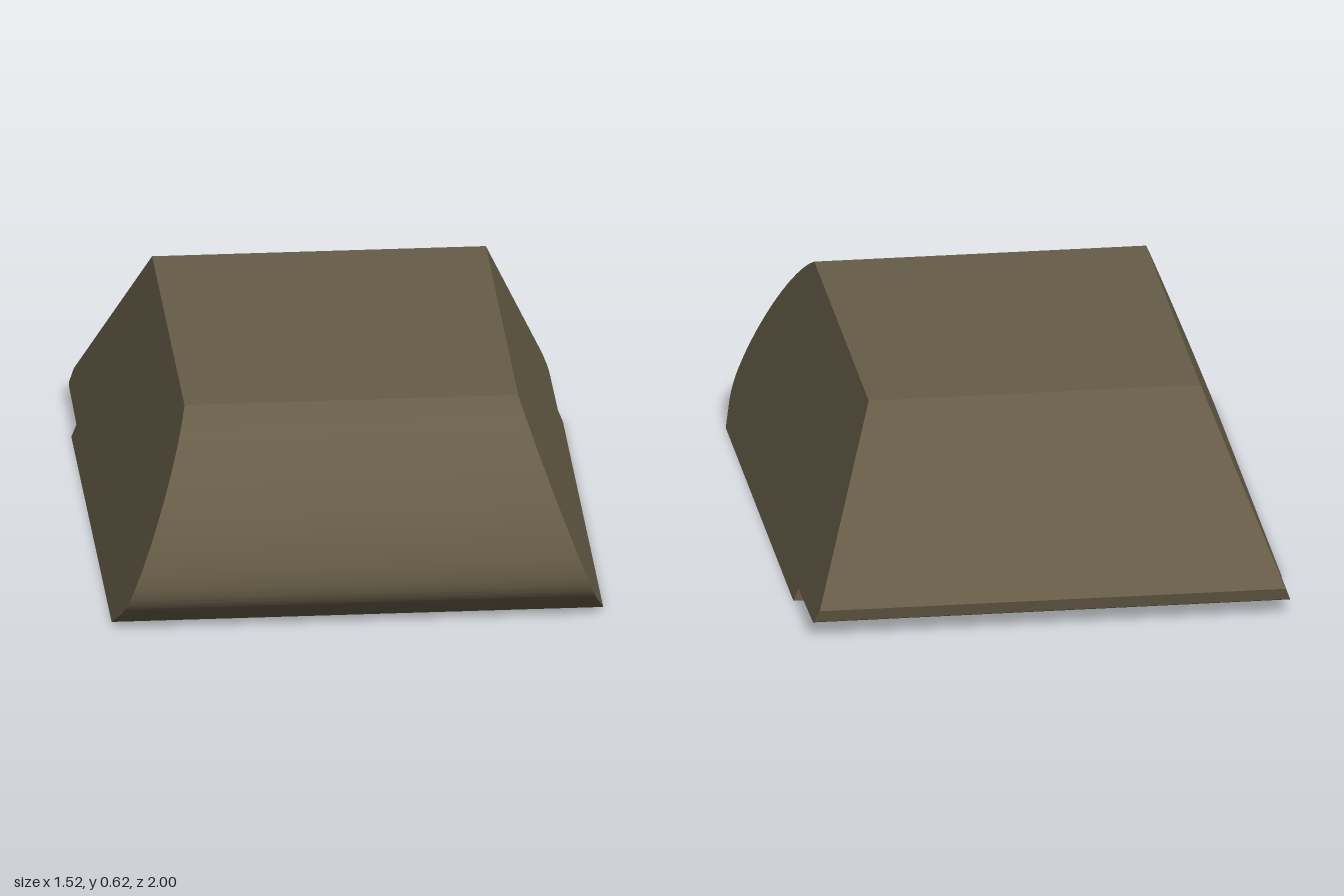
import * as THREE from 'three';
import { toCreasedNormals } from 'three/addons/utils/BufferGeometryUtils.js';

const HEIGHT = 0.62, BASE_HALF = 0.76, TOP_HALF = 0.516;

// Side profile: shape x runs front to back (model z), shape y is height.
function sideProfile() {
  const s = new THREE.Shape();
  s.moveTo(-0.66, 0);
  s.lineTo(0.87, 0);
  s.lineTo(0.95, 0.055);
  s.bezierCurveTo(0.975, 0.075, 1, 0.1, 1, 0.15);        // lower nose
  s.bezierCurveTo(1, 0.3, 0.84, 0.53, 0.64, HEIGHT);     // rounded front
  s.lineTo(-0.59, HEIGHT);
  s.lineTo(-1, 0.09);                                    // sloped back
  s.lineTo(-0.99, 0.052);
  s.lineTo(-0.975, 0.045);
  s.lineTo(-0.66, 0.04);                                 // step underneath
  s.closePath();
  return s;
}

export function createModel() {
  const olive = new THREE.MeshStandardMaterial({ color: 0x665c47 });
  olive.name = 'olive drab';

  let geo = new THREE.ExtrudeGeometry(sideProfile(), { depth: 1, bevelEnabled: false, curveSegments: 16 });
  geo.translate(0, 0, -0.5);
  geo.rotateY(-Math.PI / 2);

  // Lean both sides inward towards the top.
  const p = geo.attributes.position;
  for (let i = 0; i < p.count; i++) {
    const half = BASE_HALF + (TOP_HALF - BASE_HALF) * p.getY(i) / HEIGHT;
    p.setX(i, Math.sign(p.getX(i)) * half);
  }
  geo = toCreasedNormals(geo, 0.4);

  const hull = new THREE.Mesh(geo, olive);
  hull.name = 'hull';
  const group = new THREE.Group();
  group.name = 'taperedHousing';
  group.add(hull);
  return group;
}
